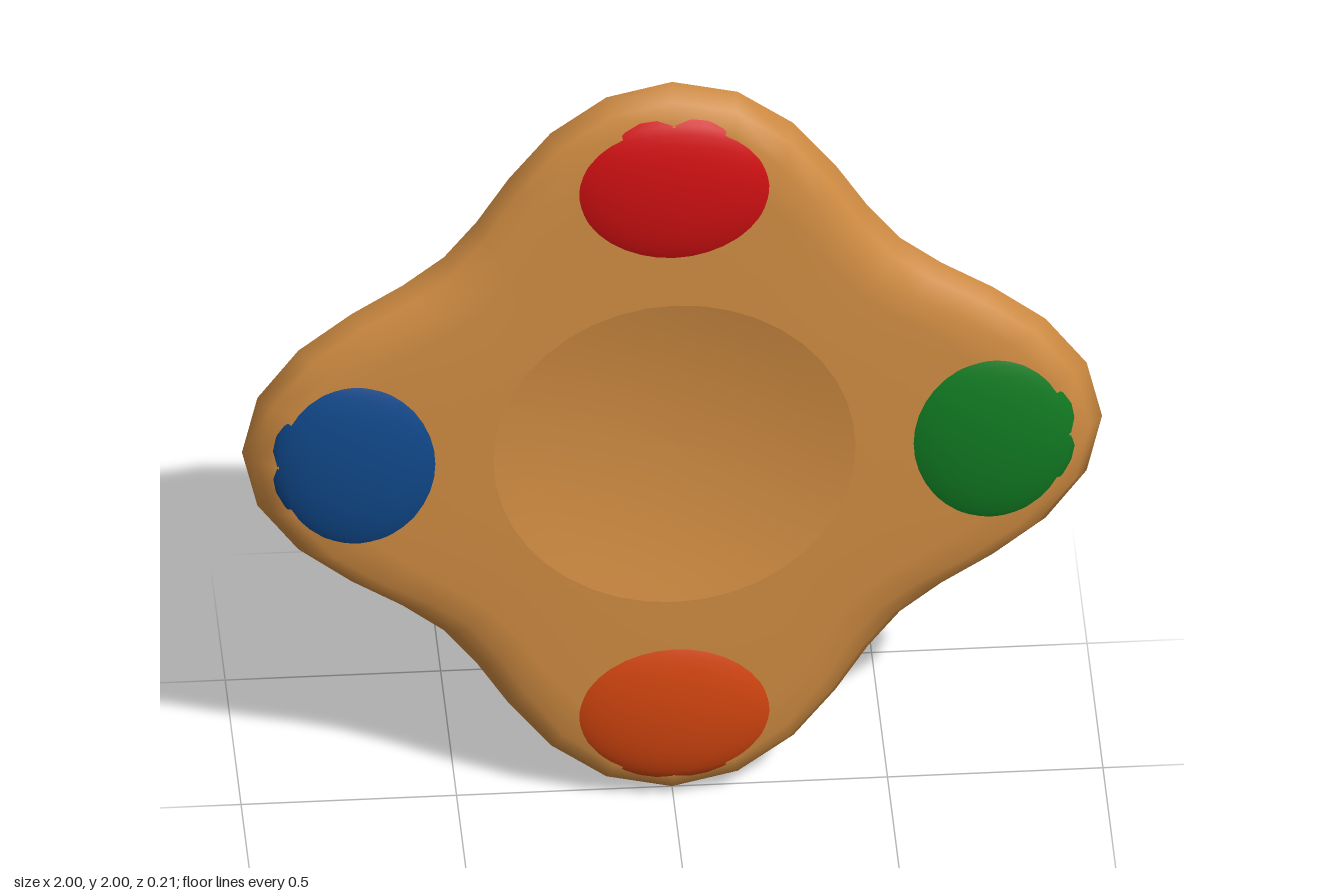
import * as THREE from 'three';

const SEGMENTS = 40;
const DISH_RADIUS = 0.42;
const FACE_Z = 0.08;

// Four-lobed outline of the body
const outline = (a) => 0.873 + 0.125 * Math.cos(4 * a);

// Skins closed rings [radius(angle), z], running from front to back
function skinRings(rings) {
  const positions = [], index = [];
  rings.forEach(([radius, z], i) => {
    for (let j = 0; j < SEGMENTS; j++) {
      const a = (j / SEGMENTS) * Math.PI * 2;
      const r = radius(a);
      positions.push(r * Math.cos(a), r * Math.sin(a), z);
      if (i === rings.length - 1) continue;
      const k = (j + 1) % SEGMENTS;
      const p = i * SEGMENTS, q = p + SEGMENTS;
      index.push(p + j, q + j, q + k, p + j, q + k, p + k);
    }
  });
  const geometry = new THREE.BufferGeometry();
  geometry.setAttribute('position', new THREE.Float32BufferAttribute(positions, 3));
  geometry.setIndex(index);
  geometry.computeVertexNormals();
  return geometry;
}

export function createModel() {
  const group = new THREE.Group();
  group.position.y = 1.002;

  const add = (name, geometry, material) => {
    const mesh = new THREE.Mesh(geometry, material);
    mesh.name = name;
    group.add(mesh);
    return mesh;
  };

  const tan = new THREE.MeshStandardMaterial({ color: 0xd08c42 });

  // Body: nearly flat faces with a rounded rim
  const face = [0, 0.25, 0.5, 0.75].map((t) => [
    (a) => THREE.MathUtils.lerp(DISH_RADIUS, outline(a) - 0.08, t),
    FACE_Z - 0.01 * t * t,
  ]);
  const rim = [[0.08, 0.07], [0.03, 0.04]].map(([inset, z]) => [(a) => outline(a) - inset, z]);
  const half = [...face, ...rim];
  const mirrored = half.map(([r, z]) => [r, -z]).reverse();
  add('body', skinRings([...half, [outline, 0], ...mirrored]), tan);

  // Shallow round dish on each face
  const dish = [];
  for (let i = 0; i <= 6; i++) {
    const t = i / 6;
    dish.push([() => DISH_RADIUS * t, FACE_Z - 0.045 * (1 - t * t)]);
  }
  add('frontDish', skinRings(dish), tan);
  add('backDish', skinRings(dish.map(([r, z]) => [r, -z]).reverse()), tan);

  // Coloured domes on both faces of every lobe
  const dome = new THREE.SphereGeometry(1, 32, 20);
  const domes = [
    ['green', 0x117a22, 0],
    ['red', 0xd01012, 1],
    ['blue', 0x10488a, 2],
    ['orange', 0xd2450f, 3],
  ];
  for (const [name, color, quarter] of domes) {
    const material = new THREE.MeshStandardMaterial({ color });
    const angle = (quarter * Math.PI) / 2;
    for (const side of [1, -1]) {
      const mesh = add(`${name}${side > 0 ? 'Front' : 'Back'}Dome`, dome, material);
      mesh.position.set(0.727 * Math.cos(angle), 0.727 * Math.sin(angle), side * 0.045);
      mesh.rotation.z = angle;
      mesh.scale.set(0.21, 0.25, 0.06);
    }
  }
  return group;
}
